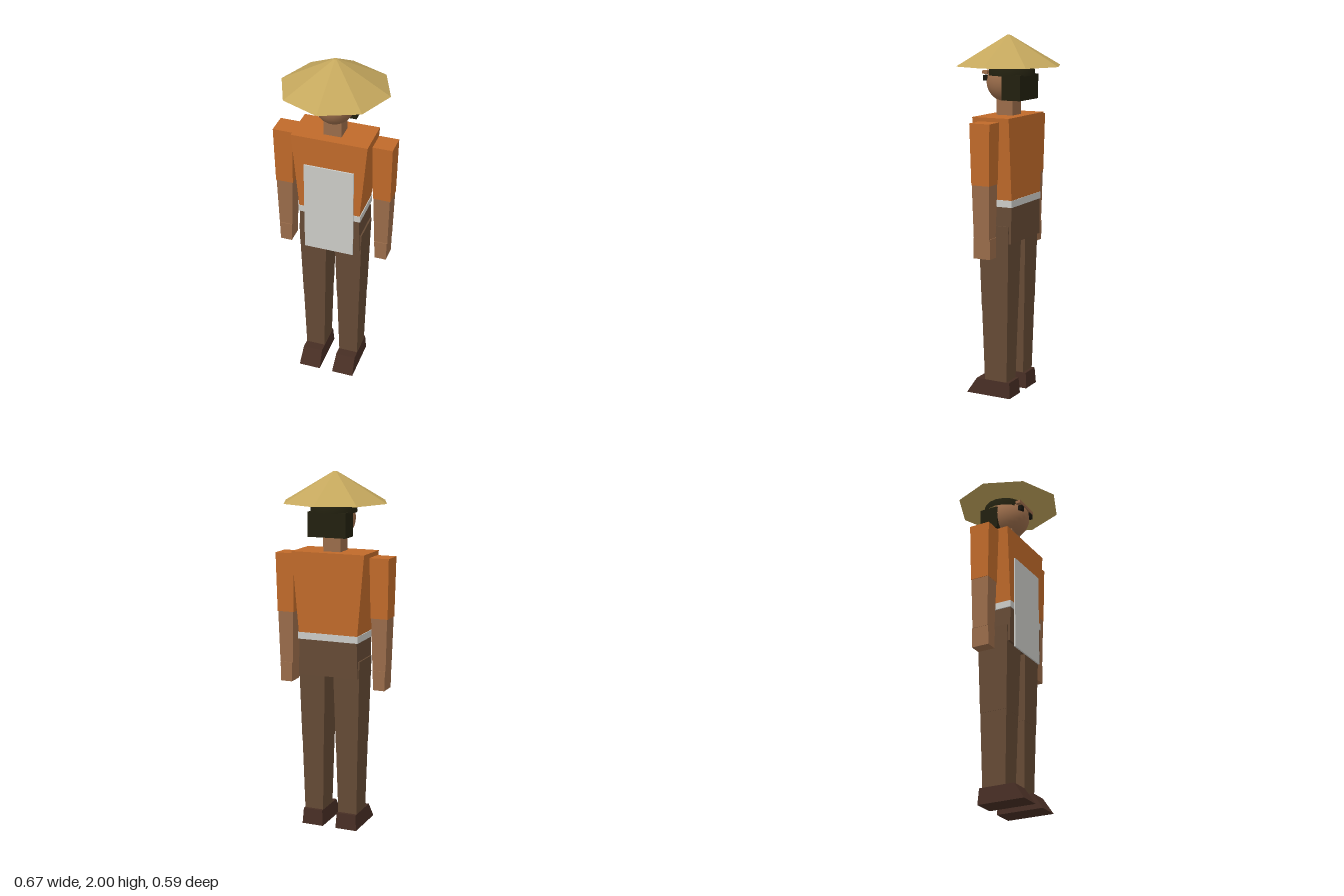
import * as THREE from 'three';

const mat = (name, color, extra = {}) => {
  const m = new THREE.MeshStandardMaterial({ color, ...extra });
  m.name = name;
  return m;
};

// Four-sided block; bottom and top are each { y, x: [min, max], z: [min, max] }
function block(bottom, top) {
  const g = new THREE.BoxGeometry(1, 1, 1).toNonIndexed();
  const p = g.attributes.position;
  for (let i = 0; i < p.count; i++) {
    const end = p.getY(i) > 0 ? top : bottom;
    p.setXYZ(i, end.x[p.getX(i) > 0 ? 1 : 0], end.y, end.z[p.getZ(i) > 0 ? 1 : 0]);
  }
  g.computeVertexNormals();
  return g;
}

// One end of a block, centred on cx with half sizes hx and hz
const end = (y, cx, hx, hz) => ({ y, x: [cx - hx, cx + hx], z: [-hz, hz] });

export function createModel() {
  const model = new THREE.Group();
  model.name = 'farmer';

  const straw = mat('straw', 0xc4a75d, { flatShading: true });
  const shirt = mat('orange shirt', 0xc06a2a);
  const skin = mat('skin', 0x9a6c4a);
  const trousers = mat('brown trousers', 0x654a35);
  const leather = mat('dark leather', 0x472e24);
  const cloth = mat('pale cloth', 0xcbcbc7);
  const hair = mat('black hair', 0x22200f, { side: THREE.DoubleSide });
  const dark = mat('eye black', 0x17150e);

  const add = (name, geometry, material, parent = model) => {
    const mesh = new THREE.Mesh(geometry, material);
    mesh.name = name;
    parent.add(mesh);
    return mesh;
  };
  const box = (name, w, h, d, x, y, z, material) =>
    add(name, new THREE.BoxGeometry(w, h, d), material).position.set(x, y, z);

  // Eight-sided conical hat
  add('hat', new THREE.CylinderGeometry(0.01, 0.297, 0.165, 8), straw).position.y = 1.9175;

  // Head, face and hair
  const head = add('head', new THREE.SphereGeometry(0.11, 24, 16), skin);
  head.scale.set(1, 1.05, 1.1);
  head.position.set(0, 1.75, 0.003);
  box('brow', 0.16, 0.018, 0.03, 0, 1.801, 0.106, skin);
  const crown = add('hairCrown',
    new THREE.SphereGeometry(0.128, 16, 6, 0, Math.PI * 2, 0, Math.PI / 2), hair);
  crown.position.set(0, 1.785, -0.02);
  box('hairBack', 0.22, 0.135, 0.11, 0, 1.7225, -0.07, hair);
  box('neck', 0.1, 0.1, 0.1, 0, 1.61, 0, skin);

  // Torso, belt, hips and apron
  add('torso', block(end(1.09, 0, 0.17, 0.107), end(1.57, 0, 0.212, 0.11)), shirt);
  box('belt', 0.354, 0.038, 0.22, 0, 1.105, 0, cloth);
  add('hips', block(end(0.885, 0, 0.175, 0.104), end(1.09, 0, 0.17, 0.106)), trousers);
  box('apron', 0.28, 0.54, 0.008, 0, 1.13, 0.115, cloth);

  // Mirrored eyes, arms and legs
  for (const [side, s] of [['left', 1], ['right', -1]]) {
    box(side + 'Eye', 0.032, 0.03, 0.024, s * 0.05, 1.769, 0.11, dark);

    const arm = new THREE.Group();
    arm.name = side + 'Arm';
    const ax = s * 0.278;
    add('sleeve', block(end(1.22, ax, 0.049, 0.053), end(1.55, ax, 0.055, 0.06)), shirt, arm);
    add('forearm', block(end(0.93, ax, 0.038, 0.046), end(1.22, ax, 0.046, 0.052)), skin, arm);
    add('hand', block(end(0.82, ax, 0.033, 0.05), end(0.93, ax, 0.036, 0.05)), skin, arm);
    model.add(arm);

    const leg = new THREE.Group();
    leg.name = side + 'Leg';
    const lx = s * 0.102;
    add('thigh', block(end(0.5, lx, 0.066, 0.08), end(0.98, lx, 0.079, 0.092)), trousers, leg);
    add('shin', block(end(0.08, lx, 0.055, 0.068), end(0.5, lx, 0.065, 0.079)), trousers, leg);
    add('shoe', block(
      { y: 0, x: [lx - 0.063, lx + 0.063], z: [-0.092, 0.18] },
      { y: 0.09, x: [lx - 0.057, lx + 0.057], z: [-0.086, 0.12] }), leather, leg);
    model.add(leg);
  }
  return model;
}
